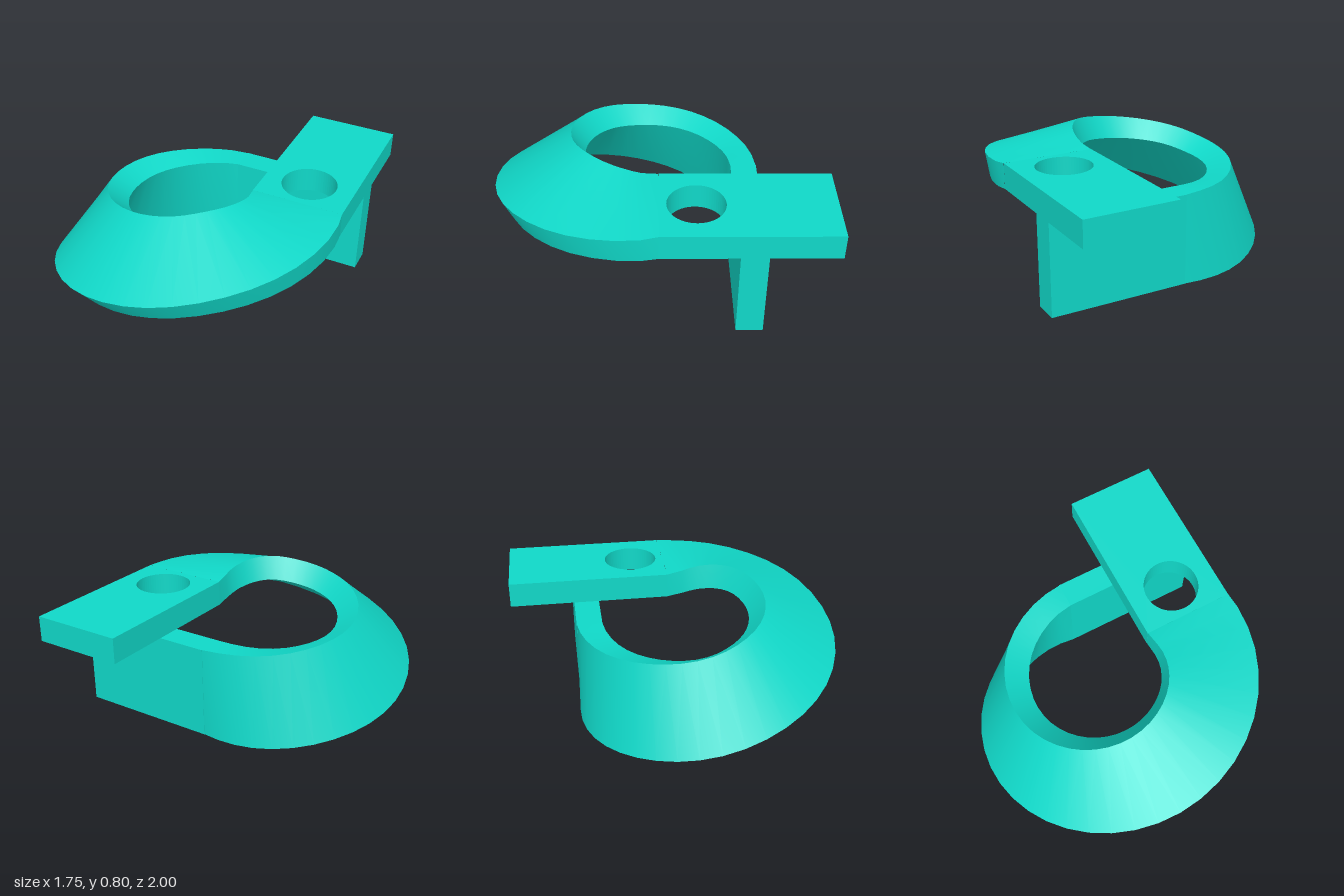
import * as THREE from 'three';
import { mergeGeometries } from 'three/addons/utils/BufferGeometryUtils.js';

const HALF_W = 0.2775, HALF_T = 0.0775; // half width and half thickness of the band
const SEGMENTS = 32;

// One cross-section of the twisting band: centre on a circle, section turning from flat to upright
function section(t, heights) {
  const start = -0.1611, end = 4.785;
  const phi = start + (end - start) * t;
  const cx = -0.045 + 0.62 * 1.0161 * Math.cos(phi);
  const cz = 0.1 + 0.62 * 1.0025 * Math.sin(phi);
  const cy = heights.getPoint(t).y;
  const out = Math.min(Math.max(phi, 0), Math.PI * 1.5);
  const twist = t * Math.PI / 2, c = Math.cos(twist), s = Math.sin(twist);
  // inner top, outer top, outer bottom, inner bottom
  return [[-1, 1], [1, 1], [1, -1], [-1, -1]].map(([w, h]) => {
    const r = w * HALF_W * c + h * HALF_T * s;
    const y = -w * HALF_W * s + h * HALF_T * c;
    return [cx + r * Math.cos(out), cy + y, cz + r * Math.sin(out)];
  });
}

// Four smooth strips with sharp edges between them
function twistedBand() {
  const heights = new THREE.SplineCurve(
    [0.6525, 0.657, 0.633, 0.566, 0.495, 0.425, 0.355, 0.315, 0.292, 0.2975]
      .map((y, i) => new THREE.Vector2(i / 9, y)));
  const rings = [];
  for (let i = 0; i <= SEGMENTS; i++) rings.push(section(i / SEGMENTS, heights));
  const strips = [0, 1, 2, 3].map((side) => {
    const position = [], index = [];
    rings.forEach((ring, i) => {
      position.push(...ring[side], ...ring[(side + 1) % 4]);
      if (i < SEGMENTS) {
        const a = i * 2;
        index.push(a, a + 2, a + 1, a + 1, a + 2, a + 3);
      }
    });
    const strip = new THREE.BufferGeometry();
    strip.setAttribute('position', new THREE.Float32BufferAttribute(position, 3));
    strip.setIndex(index);
    strip.computeVertexNormals();
    return strip;
  });
  return mergeGeometries(strips);
}

// Flat bar with a round through-hole
function drilledBar() {
  const shape = new THREE.Shape([[0.298, 0], [0.854, 0], [0.854, 1], [0.298, 1]]
    .map(([x, y]) => new THREE.Vector2(x, y)));
  const hole = new THREE.Path();
  hole.absarc(0.575, 0.21, 0.167, 0, Math.PI * 2, true);
  shape.holes.push(hole);
  const bar = new THREE.ExtrudeGeometry(shape, { depth: 0.155, bevelEnabled: false, curveSegments: 32 });
  return bar.rotateX(-Math.PI / 2).translate(0, 0.575, 0);
}

export function createModel() {
  const group = new THREE.Group();
  const turquoise = new THREE.MeshStandardMaterial({ color: 0x10d8c8 });
  turquoise.name = 'turquoise';
  const add = (name, geometry) => {
    const mesh = new THREE.Mesh(geometry, turquoise);
    mesh.name = name;
    group.add(mesh);
  };

  add('twistedBand', twistedBand());
  add('drilledBar', drilledBar());
  // Upright wall running under the bar
  add('uprightWall', new THREE.BoxGeometry(0.854, 0.555, 0.157).translate(0.427, 0.2975, -0.521));
  return group;
}
